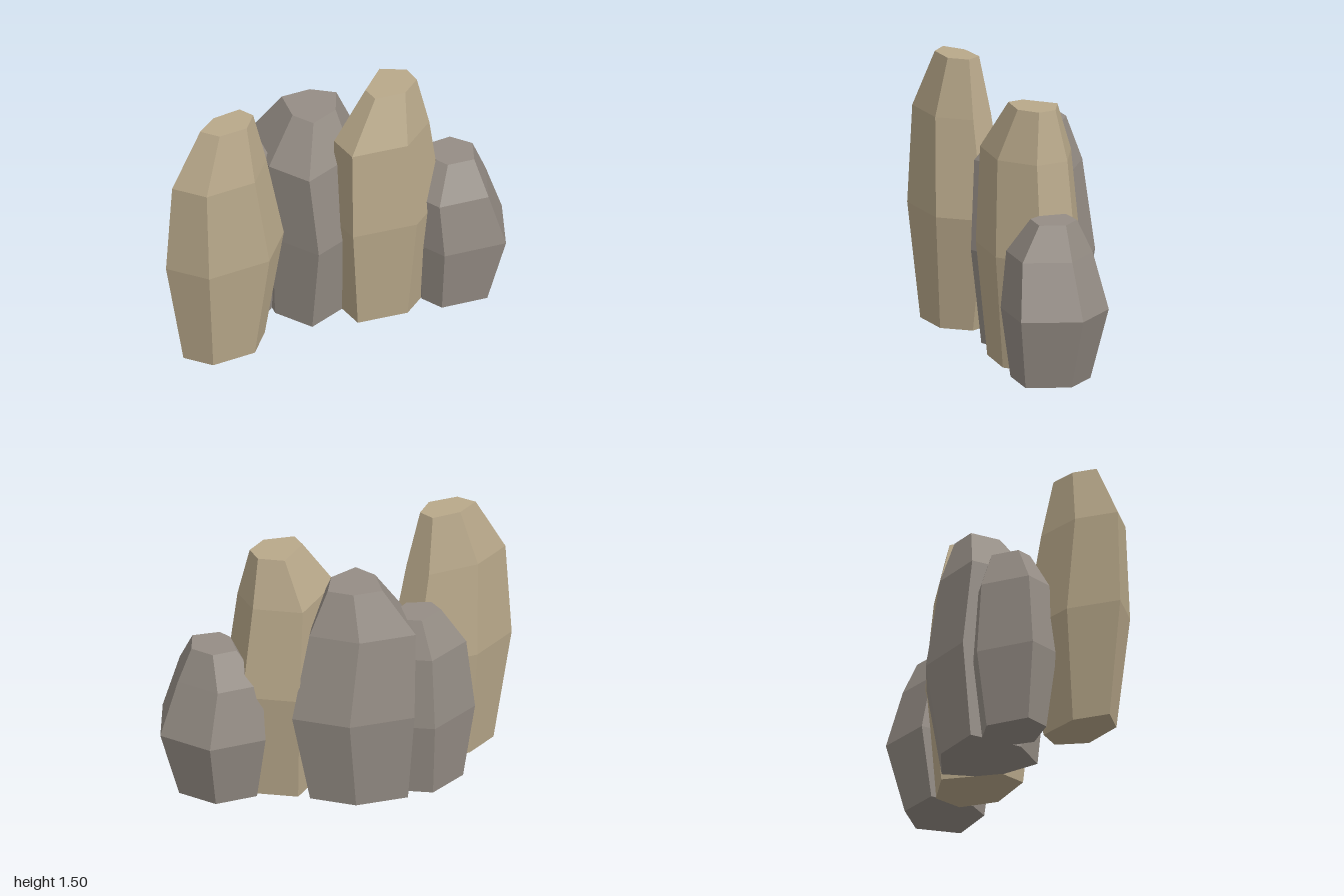
import * as THREE from 'three';

const tan = new THREE.MeshStandardMaterial({ name: 'tan stone', color: 0xb8a88a, flatShading: true });
const grey = new THREE.MeshStandardMaterial({ name: 'grey stone', color: 0x958d85, flatShading: true });

// Faceted column: one six-sided outline, scaled and shifted at each height.
// outline: [x, z] corners; rings: [y, scale, shiftX, shiftZ] from base to top
function rock(name, material, [cx, cz], outline, rings) {
  const n = outline.length;
  const loops = rings.map(([y, s, dx, dz]) =>
    outline.map(([x, z]) => [x * s + dx, y, z * s + dz]));
  const positions = [];
  const triangle = (a, b, c) => positions.push(...a, ...b, ...c);

  // sides
  for (let r = 0; r < loops.length - 1; r++) {
    for (let i = 0; i < n; i++) {
      const j = (i + 1) % n, low = loops[r], high = loops[r + 1];
      triangle(low[i], low[j], high[j]);
      triangle(low[i], high[j], high[i]);
    }
  }
  // flat base and top
  const base = loops[0], top = loops[loops.length - 1];
  for (let i = 1; i < n - 1; i++) {
    triangle(base[0], base[i + 1], base[i]);
    triangle(top[0], top[i], top[i + 1]);
  }

  const geometry = new THREE.BufferGeometry();
  geometry.setAttribute('position', new THREE.Float32BufferAttribute(positions, 3));
  geometry.computeVertexNormals();
  const mesh = new THREE.Mesh(geometry, material);
  mesh.name = name;
  mesh.position.set(cx, 0, cz);
  return mesh;
}

export function createModel() {
  const group = new THREE.Group();
  group.name = 'rockCluster';

  group.add(
    rock('tallTanRock', tan, [-0.64, -0.03],
      [[-0.36, -0.06], [-0.22, 0.15], [0.14, 0.2], [0.35, 0.03], [0.28, -0.16], [-0.08, -0.19]],
      [[0, 0.69, -0.01, 0], [0.64, 1, 0, 0], [1.18, 0.8, -0.04, 0], [1.5, 0.45, 0.01, -0.01]]),

    rock('frontTanRock', tan, [0.3, 0.07],
      [[-0.3, -0.03], [-0.3, 0.17], [0.05, 0.27], [0.3, 0.14], [0.31, -0.08], [0.06, -0.27]],
      [[0, 0.78, -0.01, 0], [0.63, 1, 0, 0], [1.16, 0.87, -0.03, 0], [1.44, 0.47, 0.04, 0.01]]),

    rock('centreGreyRock', grey, [0.04, -0.17],
      [[-0.33, 0.06], [-0.21, 0.33], [0.16, 0.26], [0.36, -0.02], [0.13, -0.25], [-0.23, -0.32]],
      [[0, 0.8, -0.04, 0], [0.53, 1, 0, 0], [1.02, 0.87, -0.06, 0], [1.27, 0.45, -0.02, -0.01]]),

    rock('backGreyRock', grey, [-0.38, -0.28],
      [[-0.24, -0.1], [-0.22, 0.1], [0.03, 0.22], [0.22, 0.12], [0.24, -0.1], [0.07, -0.22]],
      [[0, 0.75, 0, 0], [0.43, 1, 0, 0], [0.84, 0.85, 0.01, 0], [1.05, 0.48, 0.05, 0.01]]),

    rock('shortGreyRock', grey, [0.71, 0.2],
      [[-0.28, 0.03], [-0.22, 0.2], [0.12, 0.29], [0.29, 0], [0.13, -0.27], [-0.19, -0.31]],
      [[0, 0.74, -0.04, 0], [0.39, 1, 0, 0], [0.7, 0.8, -0.05, 0], [0.89, 0.43, -0.02, -0.01]]),
  );
  return group;
}
